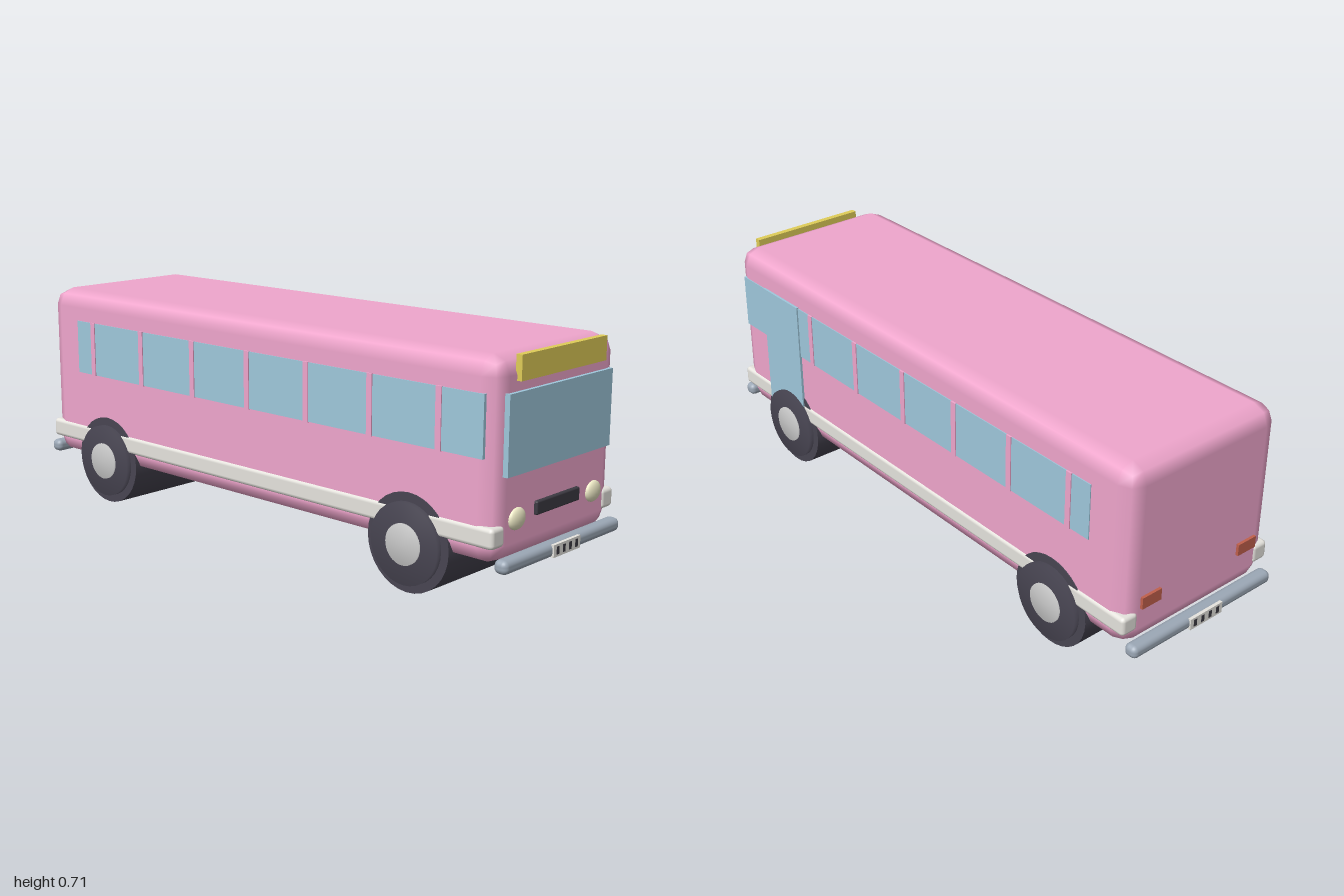
import * as THREE from 'three';
import { RoundedBoxGeometry } from 'three/addons/geometries/RoundedBoxGeometry.js';

const paint = (color) => new THREE.MeshStandardMaterial({ color });

export function createModel() {
  const bus = new THREE.Group();
  bus.name = 'bus';

  const pink = paint(0xf0a6cd);
  const glass = paint(0x9fc8dc);
  const yellow = paint(0xe0cd58);
  const rubber = paint(0x484552);
  const chrome = paint(0x9ca8b6);
  const trim = paint(0xe6e4de);
  const hubGrey = paint(0xcccccc);
  const lampCream = paint(0xf0ecc8);
  const tailRed = paint(0xc0604c);
  const black = paint(0x3c3a42);

  const add = (name, geometry, material, x = 0, y = 0, z = 0, parent = bus) => {
    const mesh = new THREE.Mesh(geometry, material);
    mesh.name = name;
    mesh.position.set(x, y, z);
    parent.add(mesh);
    return mesh;
  };
  // Box given by its extents along each axis; a radius rounds its edges
  const block = (name, material, [x0, x1], [y0, y1], [z0, z1], radius = 0, segments = 2) => {
    const size = [x1 - x0, y1 - y0, z1 - z0];
    const geometry = radius
      ? new RoundedBoxGeometry(...size, segments, radius)
      : new THREE.BoxGeometry(...size);
    return add(name, geometry, material, (x0 + x1) / 2, (y0 + y1) / 2, (z0 + z1) / 2);
  };
  // Same, mirrored to the given side in x
  const sideBlock = (name, material, side, [x0, x1], ...rest) =>
    block(name, material, side > 0 ? [x0, x1] : [-x1, -x0], ...rest);

  // Body shell
  block('body', pink, [-0.292, 0.292], [0.132, 0.712], [-0.955, 0.955], 0.056, 1);

  // Front face
  block('windscreen', glass, [-0.249, 0.249], [0.383, 0.611], [0.94, 0.966]);
  block('destinationSign', yellow, [-0.205, 0.205], [0.64, 0.712], [0.95, 0.97]);
  block('grille', black, [-0.105, 0.105], [0.248, 0.288], [0.94, 0.966], 0.005);

  for (const side of [1, -1]) {
    const label = side > 0 ? 'left' : 'right';

    // Lamps at both ends
    const lamp = add(`${label}Headlight`, new THREE.SphereGeometry(1, 20, 12), lampCream,
      side * 0.187, 0.256, 0.955);
    lamp.scale.set(0.038, 0.032, 0.015);
    sideBlock(`${label}TailLight`, tailRed, side, [0.158, 0.232], [0.258, 0.296], [-0.964, -0.94]);

    // Trim belt along the side
    sideBlock(`${label}Trim`, trim, side, [0.238, 0.298], [0.187, 0.248], [-0.957, 0.957], 0.013);

    // Long window strip divided by pillars
    sideBlock(`${label}Windows`, glass, side, [0.27, 0.295], [0.434, 0.612], [-0.806, 0.916]);
    for (let i = 0; i < 7; i++) {
      const z = 0.765 - i * 0.248;
      sideBlock(`${label}Pillar`, pink, side, [0.27, 0.298], [0.432, 0.613], [z - 0.01, z + 0.01]);
    }
  }

  // Passenger door on one side only
  block('door', glass, [0.27, 0.3], [0.13, 0.615], [0.588, 0.79]);

  // Bumpers with number plates
  for (const end of [1, -1]) {
    const label = end > 0 ? 'front' : 'rear';
    add(`${label}Bumper`, new RoundedBoxGeometry(0.57, 0.041, 0.045, 3, 0.017), chrome,
      0, 0.142, end * 0.972);
    add(`${label}Plate`, new THREE.BoxGeometry(0.131, 0.037, 0.01), trim, 0, 0.142, end * 0.994);
    for (let i = 0; i < 4; i++) {
      add(`${label}PlateMark`, new THREE.BoxGeometry(0.012, 0.023, 0.004), black,
        -0.046 + i * 0.0307, 0.142, end * 0.998);
    }
  }

  // Wheels: a full-width drum with a tyre disc and hub on each end
  const disc = (radius, inner, outer) => new THREE.LatheGeometry([
    new THREE.Vector2(radius, inner),
    new THREE.Vector2(radius, outer),
    new THREE.Vector2(0, outer),
  ], 32);
  for (const z of [0.663, -0.663]) {
    const axle = new THREE.Group();
    axle.name = z > 0 ? 'frontAxle' : 'rearAxle';
    axle.position.set(0, 0.147, z);
    axle.rotation.z = -Math.PI / 2;
    bus.add(axle);
    add('wheelDrum', new THREE.CylinderGeometry(0.147, 0.147, 0.59, 32), rubber, 0, 0, 0, axle);
    for (const side of [1, -1]) {
      const wheel = new THREE.Group();
      wheel.name = side > 0 ? 'leftWheel' : 'rightWheel';
      if (side < 0) wheel.rotation.x = Math.PI;
      axle.add(wheel);
      add('tyre', disc(0.121, 0.28, 0.313), rubber, 0, 0, 0, wheel);
      add('hub', disc(0.061, 0.3, 0.319), hubGrey, 0, 0, 0, wheel);
    }
  }

  return bus;
}
